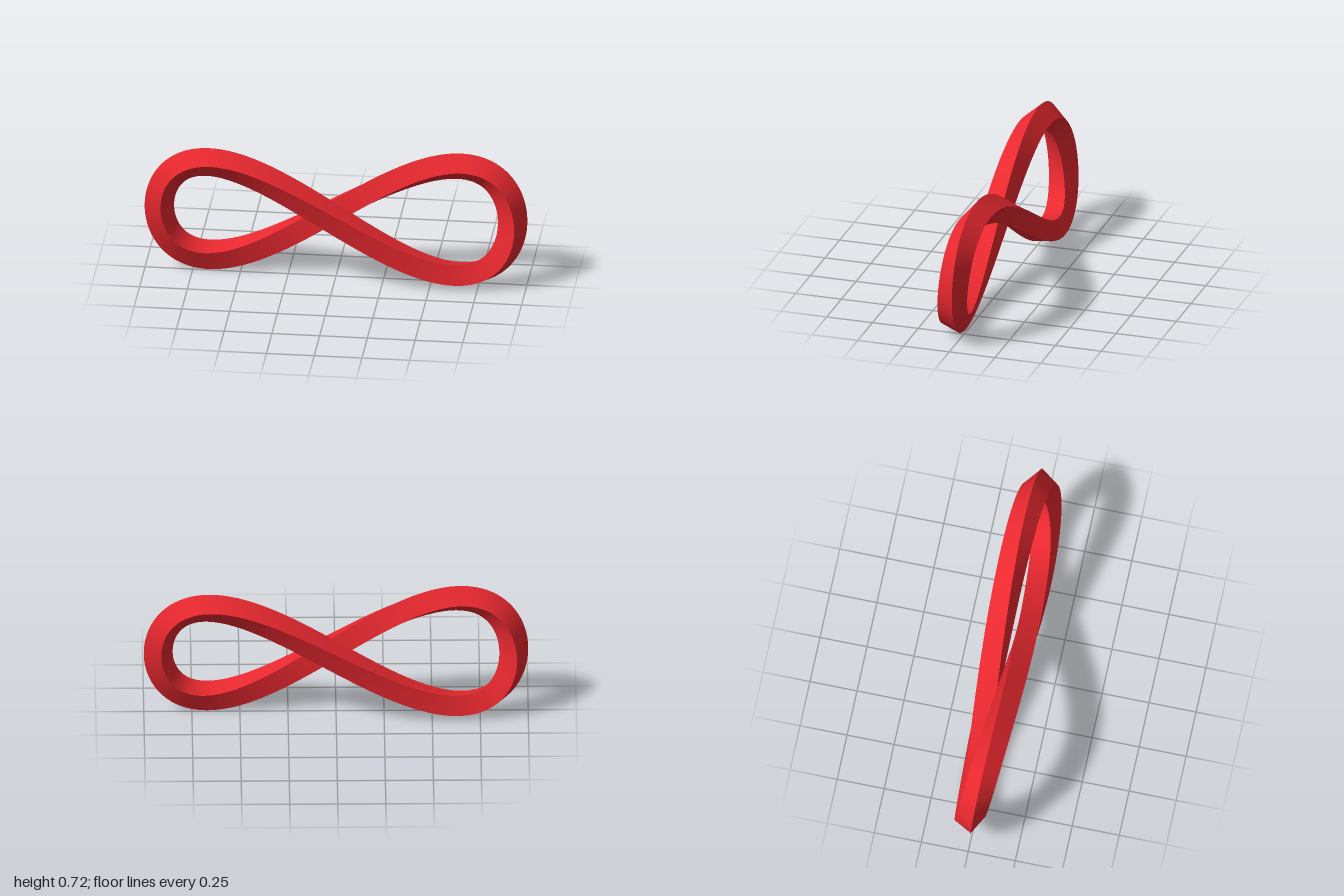
import * as THREE from 'three';

// Figure-eight centre line that lifts one strand over the other at the crossing
class FigureEight extends THREE.Curve {
  getPoint(u, target = new THREE.Vector3()) {
    const t = u * Math.PI * 2;
    return target.set(0.925 * Math.cos(t), 0.358 - 0.286 * Math.sin(2 * t), 0.068 * Math.sin(t));
  }
}

const STEPS = 240;        // sections per lap
const RADIUS = 0.077;     // centre to corner of the square section
const START = THREE.MathUtils.degToRad(-12);

// Centre and in-plane axes of every section
function makeFrames() {
  const curve = new FigureEight();
  curve.arcLengthDivisions = 1000;
  const up = new THREE.Vector3(0, 0, 1);
  return Array.from({ length: STEPS }, (_, i) => {
    const centre = curve.getPointAt(i / STEPS);
    const tangent = curve.getTangentAt(i / STEPS);
    const side = new THREE.Vector3().crossVectors(up, tangent).normalize();
    const front = new THREE.Vector3().crossVectors(tangent, side);
    return { centre, side, front };
  });
}

// One face of the bar: the half twist per lap makes it close after two laps
function faceGeometry(frames, offset) {
  const count = STEPS * 2;
  const positions = [], indices = [];
  for (let i = 0; i < count; i++) {
    const { centre, side, front } = frames[i % STEPS];
    for (const corner of [0, Math.PI / 2]) {
      const angle = START + offset + corner - Math.PI * i / STEPS;
      const p = centre.clone()
        .addScaledVector(side, RADIUS * Math.cos(angle))
        .addScaledVector(front, RADIUS * Math.sin(angle));
      positions.push(p.x, p.y, p.z);
    }
    const a = 2 * i, b = a + 1;
    const c = 2 * ((i + 1) % count), d = c + 1;
    indices.push(a, b, d, a, d, c);
  }
  const geometry = new THREE.BufferGeometry();
  geometry.setAttribute('position', new THREE.Float32BufferAttribute(positions, 3));
  geometry.setIndex(indices);
  geometry.computeVertexNormals();
  return geometry;
}

export function createModel() {
  const model = new THREE.Group();
  model.name = 'twistedInfinityLoop';
  const material = new THREE.MeshStandardMaterial({ color: 0xe8282f });
  const frames = makeFrames();

  // Two interlocked ribbons form the four sides of the square bar
  ['firstTwistedFace', 'secondTwistedFace'].forEach((name, k) => {
    const mesh = new THREE.Mesh(faceGeometry(frames, k * Math.PI / 2), material);
    mesh.name = name;
    model.add(mesh);
  });
  return model;
}
